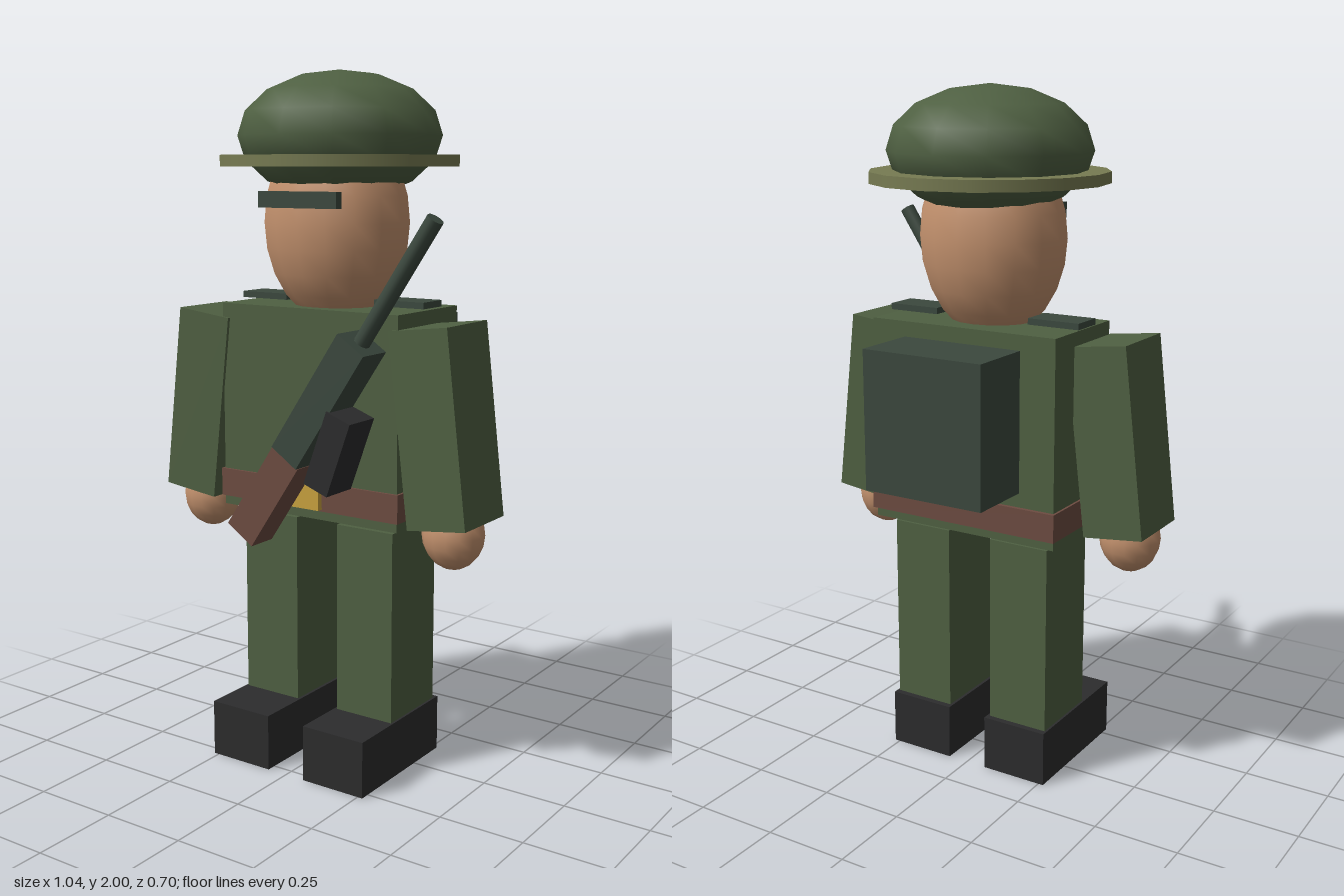
import * as THREE from 'three';

const mat = (name, color) => Object.assign(new THREE.MeshStandardMaterial({ color }), { name });

export function createModel() {
  const green = mat('uniform green', 0x4f6042);
  const olive = mat('brim olive', 0x777b52);
  const skin = mat('skin', 0xc4926e);
  const black = mat('boot black', 0x2c2c2d);
  const brown = mat('leather brown', 0x6d4c41);
  const gear = mat('gear dark green', 0x3b483e);
  const gold = mat('buckle gold', 0xc9a23f);

  const model = new THREE.Group();
  model.name = 'soldier';

  const add = (name, geometry, material, pos, parent = model) => {
    const mesh = new THREE.Mesh(geometry, material);
    mesh.name = name;
    mesh.position.set(...pos);
    parent.add(mesh);
    return mesh;
  };
  const box = (name, size, material, pos, parent) =>
    add(name, new THREE.BoxGeometry(...size), material, pos, parent);
  const ball = (name, radii, material, pos, w, h) =>
    add(name, new THREE.SphereGeometry(1, w, h).scale(...radii), material, pos);

  // Torso, belt and pack
  box('torso', [0.6, 0.6, 0.315], green, [0, 1.045, 0.006]);
  box('belt', [0.614, 0.082, 0.335], brown, [0, 0.813, 0.004]);
  box('buckle', [0.11, 0.07, 0.025], gold, [0, 0.813, 0.178]);
  box('backpack', [0.38, 0.405, 0.205], gear, [0, 1.098, -0.25]);

  // Limbs and shoulder tabs, mirrored
  for (const [side, s] of [['left', 1], ['right', -1]]) {
    box(side + 'Leg', [0.188, 0.565, 0.233], green, [s * 0.165, 0.443, 0.003]);
    box(side + 'Boot', [0.203, 0.165, 0.41], black, [s * 0.164, 0.0825, 0.073]);
    const arm = box(side + 'Arm', [0.182, 0.545, 0.218], green, [s * 0.397, 1.042, 0.064]);
    arm.rotation.z = s * 0.118;
    ball(side + 'Hand', [0.09, 0.1, 0.08], skin, [s * 0.427, 0.743, 0.073], 14, 10);
    box(side + 'ShoulderTab', [0.16, 0.018, 0.098], gear, [s * 0.232, 1.361, 0.004]);
  }

  // Head and eye band
  ball('head', [0.217, 0.29, 0.19], skin, [0, 1.58, 0.018], 16, 12);
  box('eyeBand', [0.262, 0.045, 0.026], gear, [0, 1.645, 0.197]);

  // Helmet with brim
  ball('helmetDome', [0.292, 0.18, 0.287], green, [0, 1.82, 0.002], 12, 8);
  add('helmetBrim', new THREE.CylinderGeometry(0.34, 0.34, 0.032, 16), olive, [0, 1.75, 0]);

  // Rifle slung diagonally across the chest
  const rifle = new THREE.Group();
  rifle.name = 'rifle';
  rifle.position.set(0.159, 1.12, 0.29);
  rifle.rotation.z = -0.59;
  model.add(rifle);
  box('rifleBody', [0.097, 0.39, 0.11], gear, [0, 0, 0], rifle);
  box('rifleStock', [0.1, 0.29, 0.094], brown, [0, -0.34, 0], rifle);
  add('rifleBarrel', new THREE.CylinderGeometry(0.023, 0.023, 0.43, 10), gear, [0, 0.372, 0], rifle);
  const magazine = box('magazine', [0.08, 0.217, 0.117], black, [0.196, 0.986, 0.2925]);
  magazine.rotation.z = -0.35;

  return model;
}
